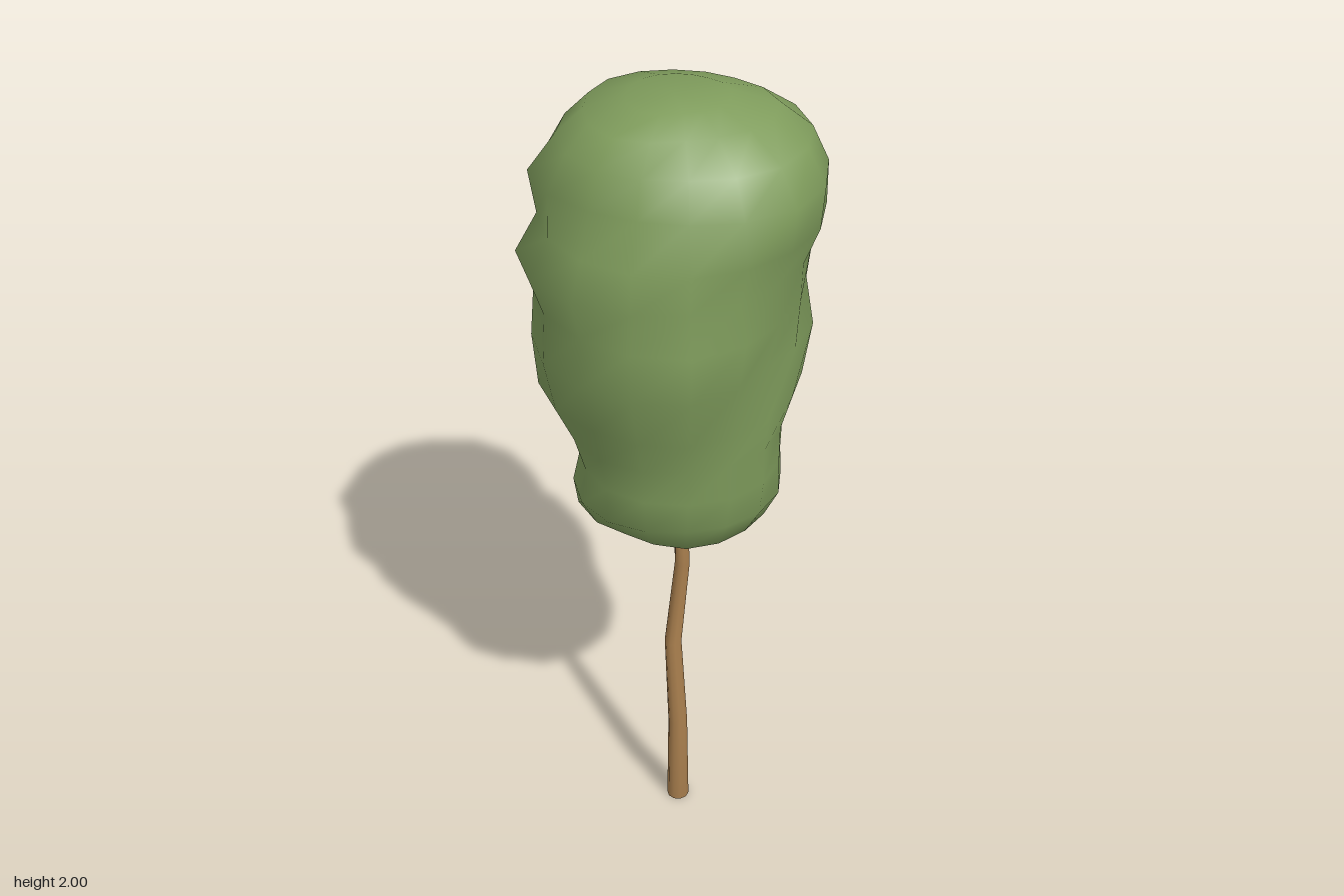
import * as THREE from 'three';

// Closed smooth skin over rings of points listed from bottom to top, with a pole at each end.
function loft(rings, bottom, top) {
  const n = rings[0].length;
  const pts = [...rings.flat(), bottom, top];
  const index = [];
  const b = pts.length - 2, t = pts.length - 1, last = (rings.length - 1) * n;
  for (let j = 0; j < n; j++) {
    const k = (j + 1) % n;
    for (let i = 0; i < rings.length - 1; i++) {
      const l = i * n, u = l + n;
      index.push(l + j, u + j, l + k, u + j, u + k, l + k);
    }
    index.push(b, j, k, t, last + k, last + j);
  }
  const geo = new THREE.BufferGeometry();
  geo.setAttribute('position', new THREE.Float32BufferAttribute(pts.flat(), 3));
  geo.setIndex(index);
  geo.computeVertexNormals();
  return geo;
}

// Ring with its own reach in eight directions and a smooth in-between point after each.
function crownRing([y, ...reach]) {
  const at = (i) => reach[(i + 8) % 8];
  return Array.from({ length: 16 }, (_, j) => {
    const i = Math.floor(j / 2);
    const r = j % 2 === 0 ? at(i) : (9 * (at(i) + at(i + 1)) - at(i - 1) - at(i + 2)) / 16;
    const a = (j / 16) * Math.PI * 2;
    return [r * Math.cos(a), y, r * Math.sin(a)];
  });
}

function trunkRing([x, y, z, r]) {
  return Array.from({ length: 10 }, (_, j) => {
    const a = (j / 10) * Math.PI * 2;
    return [x + r * Math.cos(a), y, z + r * Math.sin(a)];
  });
}

export function createModel() {
  const group = new THREE.Group();
  const leafGreen = new THREE.MeshStandardMaterial({ color: 0x7f9c5c });
  leafGreen.name = 'leafGreen';
  const barkBrown = new THREE.MeshStandardMaterial({ color: 0xa97f4e });
  barkBrown.name = 'barkBrown';

  // Crown: height, then reach from +x round through +z, -x and -z in eighths of a turn
  const levels = [
    [0.91, 0.12, 0.14, 0.13, 0.17, 0.15, 0.14, 0.10, 0.15],
    [0.95, 0.20, 0.20, 0.19, 0.24, 0.20, 0.19, 0.16, 0.21],
    [1.02, 0.24, 0.23, 0.25, 0.25, 0.23, 0.24, 0.22, 0.24],
    [1.11, 0.25, 0.25, 0.25, 0.23, 0.23, 0.26, 0.27, 0.235],
    [1.20, 0.25, 0.25, 0.27, 0.26, 0.27, 0.27, 0.31, 0.24],
    [1.29, 0.26, 0.285, 0.29, 0.32, 0.31, 0.305, 0.33, 0.28],
    [1.42, 0.25, 0.32, 0.325, 0.33, 0.28, 0.305, 0.34, 0.30],
    [1.54, 0.28, 0.33, 0.32, 0.32, 0.26, 0.30, 0.31, 0.28],
    [1.63, 0.27, 0.30, 0.34, 0.355, 0.31, 0.29, 0.30, 0.29],
    [1.72, 0.305, 0.31, 0.31, 0.305, 0.305, 0.335, 0.31, 0.317],
    [1.82, 0.315, 0.27, 0.28, 0.32, 0.28, 0.31, 0.32, 0.317],
    [1.90, 0.27, 0.24, 0.255, 0.26, 0.25, 0.25, 0.27, 0.28],
    [1.955, 0.19, 0.17, 0.21, 0.20, 0.20, 0.18, 0.18, 0.21],
    [1.985, 0.11, 0.11, 0.13, 0.11, 0.10, 0.09, 0.09, 0.11],
  ];
  const crown = new THREE.Mesh(
    loft(levels.map(crownRing), [0.02, 0.88, 0.03], [0.02, 2, 0.04]), leafGreen);
  crown.name = 'crown';
  group.add(crown);

  // Crooked trunk: x, y, z, radius; the first ring is doubled for a sharp foot
  const spine = [
    [0.018, 0, 0.028, 0.028],
    [0.018, 0, 0.028, 0.028],
    [0.035, 0.29, 0.048, 0.024],
    [0.0, 0.52, 0.025, 0.021],
    [0.026, 0.78, 0.02, 0.018],
    [0.02, 0.95, 0.02, 0.016],
  ];
  const trunk = new THREE.Mesh(
    loft(spine.map(trunkRing), [0.018, 0, 0.028], [0.02, 0.95, 0.02]), barkBrown);
  trunk.name = 'trunk';
  group.add(trunk);

  return group;
}
